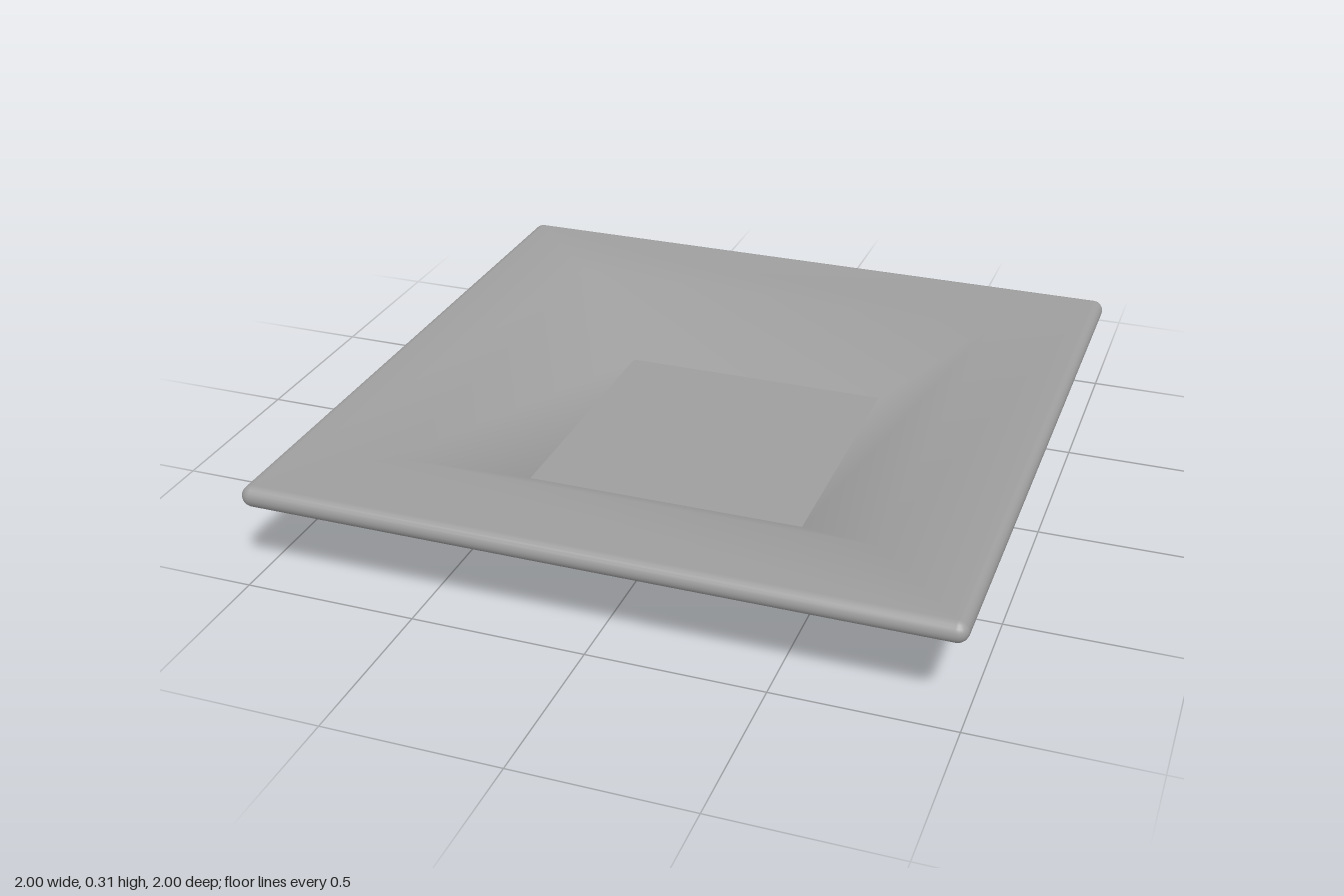
import * as THREE from 'three';
import { mergeVertices } from 'three/addons/utils/BufferGeometryUtils.js';

const CORNER_STEPS = 6;

// Points of a square of half size h at height y, its corners cut by c: rounded or chamfered
function squareRing(h, y, c, chamfer) {
  const pts = [];
  for (let q = 0; q < 4; q++) {
    const start = q * Math.PI / 2;
    const cos = Math.round(Math.cos(start)), sin = Math.round(Math.sin(start));
    for (let k = 0; k <= CORNER_STEPS; k++) {
      const t = k / CORNER_STEPS, a = t * Math.PI / 2;
      const u = h - c + c * (chamfer ? 1 - t : Math.cos(a));
      const v = h - c + c * (chamfer ? t : Math.sin(a));
      pts.push([u * cos - v * sin, y, -(u * sin + v * cos)]);
    }
  }
  return pts;
}

// Skin over a profile of [half size, height, corner cut, chamfer]
function loftSquares(profile) {
  const rings = profile.map(([h, y, c = 0, chamfer = false]) => squareRing(h, y, c, chamfer));
  const n = rings[0].length;
  const index = [];
  for (let i = 0; i < rings.length - 1; i++) {
    for (let j = 0; j < n; j++) {
      const a = i * n + j, b = i * n + (j + 1) % n;
      index.push(a, a + n, b + n, a, b + n, b);
    }
  }
  const geo = new THREE.BufferGeometry();
  geo.setAttribute('position', new THREE.Float32BufferAttribute(rings.flat(2), 3));
  geo.setIndex(index);
  const merged = mergeVertices(geo, 1e-4);
  merged.computeVertexNormals();
  return merged;
}

export function createModel() {
  const group = new THREE.Group();
  const material = new THREE.MeshStandardMaterial({ color: 0x9e9e9e });
  const add = (name, geo) => {
    const mesh = new THREE.Mesh(geo, material);
    mesh.name = name;
    group.add(mesh);
  };

  const FLOOR = 0.41, R = 0.031, TOP = 0.133, BOTTOM = 0.098;

  // Steep well wall, nearly flat border, rounded rim, then the shallow underside
  const sides = [[FLOOR, TOP], [0.69, 0.295]];
  for (let i = 0; i <= 10; i++) {
    const a = Math.PI / 2 - i / 10 * Math.PI;
    const r = R * Math.cos(a);
    sides.push([1 - R + r, 0.276 + R * Math.sin(a), r]);
  }
  // The underside bends along an octagon before meeting the square foot
  sides.push([0.69, 0.156, 0.35, true], [FLOOR, BOTTOM]);
  add('dishSides', loftSquares(sides));

  // Flat floor, inside and underneath
  add('dishFloor', loftSquares([[0, TOP], [FLOOR, TOP]]));
  add('dishUnderside', loftSquares([[FLOOR, BOTTOM], [0, BOTTOM]]));

  // Square foot ring
  const square = h => [[-h, -h], [h, -h], [h, h], [-h, h]].map(p => new THREE.Vector2(...p));
  const shape = new THREE.Shape(square(FLOOR));
  shape.holes.push(new THREE.Path(square(0.365)));
  const foot = new THREE.ExtrudeGeometry(shape, { depth: BOTTOM, bevelEnabled: false });
  add('footRing', foot.rotateX(-Math.PI / 2));

  return group;
}
